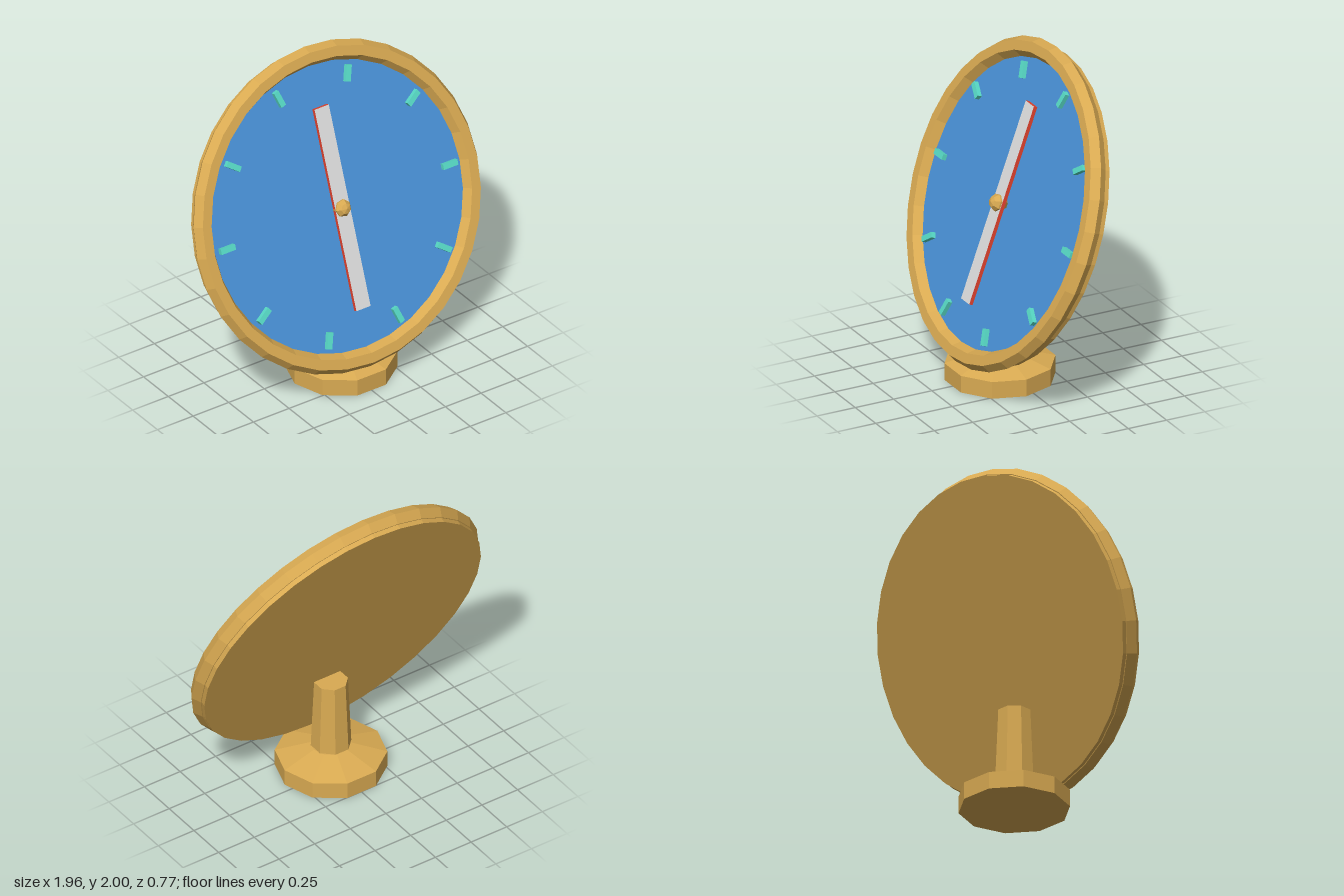
import * as THREE from 'three';

const paint = (name, color) => {
  const m = new THREE.MeshStandardMaterial({ color, flatShading: true });
  m.name = name;
  return m;
};

export function createModel() {
  const gold = paint('gold', 0xd9aa52);
  const blue = paint('dial blue', 0x4a92d9);
  const mint = paint('mint', 0x58dcc8);
  const white = paint('off white', 0xdedede);
  const red = paint('red', 0xe8442f);

  const model = new THREE.Group();
  model.name = 'tiltedDial';
  const add = (parent, name, geometry, material, x = 0, y = 0, z = 0) => {
    const mesh = new THREE.Mesh(geometry, material);
    mesh.name = name;
    mesh.position.set(x, y, z);
    parent.add(mesh);
    return mesh;
  };

  // Stand: ten-sided foot with a sloped shoulder, eight-sided post
  const stand = new THREE.Group();
  stand.name = 'stand';
  stand.position.z = 0.055;
  model.add(stand);
  const foot = (top, bottom, h) => new THREE.CylinderGeometry(top, bottom, h, 10).rotateY(Math.PI / 10);
  add(stand, 'foot', foot(0.325, 0.325, 0.105), gold, 0, 0.0525);
  add(stand, 'footShoulder', foot(0.12, 0.325, 0.06), gold, 0, 0.135);
  add(stand, 'post', new THREE.CylinderGeometry(0.1, 0.12, 0.46, 8).rotateY(Math.PI / 8), gold, 0, 0.39);

  // Head: leans back 20 degrees, local z points out of the dial
  const head = new THREE.Group();
  head.name = 'head';
  head.position.set(0, 1.079, 0.015);
  head.rotation.x = -Math.PI / 9;
  model.add(head);

  add(head, 'rim', new THREE.TorusGeometry(0.92, 0.06, 6, 32), gold);
  add(head, 'backPlate', new THREE.CylinderGeometry(0.945, 0.945, 0.075, 32).rotateX(Math.PI / 2), gold, 0, 0, -0.0445);
  add(head, 'dialFace', new THREE.CylinderGeometry(0.88, 0.88, 0.008, 32).rotateX(Math.PI / 2), blue, 0, 0, -0.004);

  // Ten hour marks around the dial
  const markShape = new THREE.BoxGeometry(0.1, 0.034, 0.03);
  for (let i = 0; i < 10; i++) {
    const a = (i * Math.PI) / 5;
    const mark = add(head, 'mark', markShape, mint, 0.78 * Math.cos(a), 0.78 * Math.sin(a), 0.013);
    mark.rotation.z = a;
  }

  // Needle: white front, red edges and back
  add(head, 'needle', new THREE.BoxGeometry(0.1, 1.236, 0.024), [red, red, red, red, white, red], 0, 0, 0.048);

  // Centre knob, pole facing out
  add(head, 'knob', new THREE.SphereGeometry(0.055, 7, 5).rotateX(Math.PI / 2), gold, 0, 0, 0.054);

  return model;
}
